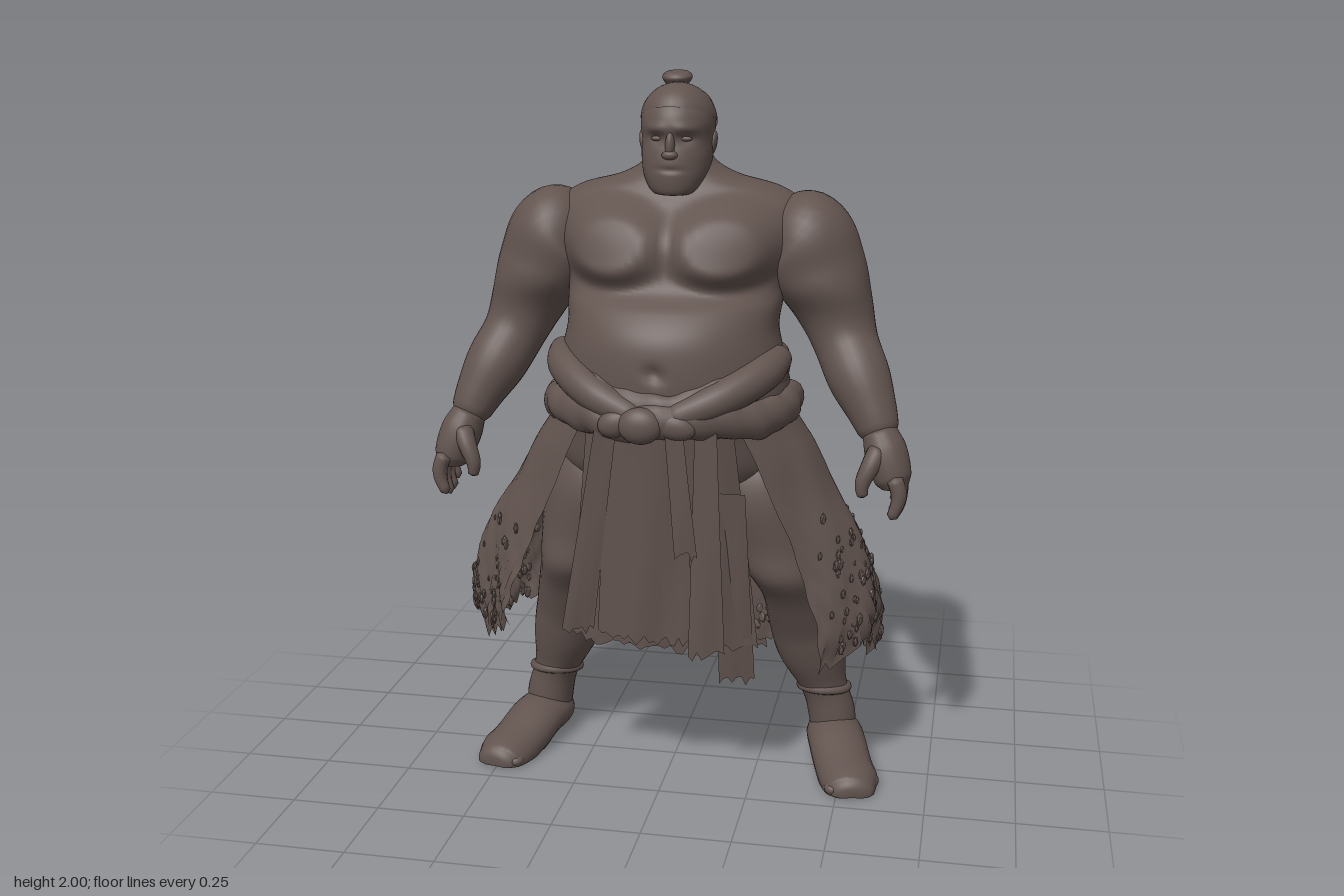
import * as THREE from 'three';
import { mergeVertices, mergeGeometries } from 'three/addons/utils/BufferGeometryUtils.js';
import { ParametricGeometry } from 'three/addons/geometries/ParametricGeometry.js';

const clay = new THREE.MeshStandardMaterial({ color: 0x62544f, side: THREE.DoubleSide });
clay.name = 'umber clay';

let seed = 7;
const rand = () => (seed = (seed * 16807) % 2147483647) / 2147483647;
const sin = Math.sin, cos = Math.cos, PI = Math.PI;
const bell = (d, w) => Math.exp(-(d * d) / (w * w));
const smooth = (a, b, x) => THREE.MathUtils.smoothstep(x, a, b);

// Smooth interpolation through rows of numbers, t in 0..1
function rows(table, t) {
  const n = table.length - 1, f = Math.min(t * n, n - 1e-6), i = Math.floor(f), k = f - i;
  const at = j => table[Math.max(0, Math.min(n, j))];
  return table[0].map((_, c) => {
    const p0 = at(i - 1)[c], p1 = at(i)[c], p2 = at(i + 1)[c], p3 = at(i + 2)[c];
    return p1 + 0.5 * k * (p2 - p0 + k * (2 * p0 - 5 * p1 + 4 * p2 - p3 + k * (3 * (p1 - p2) + p3 - p0)));
  });
}

// Surface from f(u, v, target) with seams welded and smooth normals
function surface(f, nu, nv) {
  const g = new ParametricGeometry(f, nu, nv);
  g.deleteAttribute('uv');
  g.deleteAttribute('normal');
  const m = mergeVertices(g, 1e-5);
  m.computeVertexNormals();
  return m;
}

// Upright body: rows of [y, half width, front z, back z]
const loft = (table, sculpt, nu, nv) => surface((u, v, p) => {
  const [y, w, f, b] = rows(table, v), a = u * 2 * PI;
  p.set(w * sin(a), y, (f + b) / 2 + (f - b) / 2 * cos(a));
  sculpt(p, cos(a));
}, nu, nv);

// Limb: points [x, y, z, radius], mirrored by side s, rounded at both ends
function limb(points, s = 1, { sy = 1, sz = 1, floor = -1, nu = 20, nv = 32, sculpt = () => {} } = {}) {
  const curve = new THREE.CatmullRomCurve3(points.map(p => new THREE.Vector3(p[0] * s, p[1], p[2])));
  const fr = curve.computeFrenetFrames(nv), radii = points.map(p => [p[3]]), o = new THREE.Vector3();
  return surface((u, v, p) => {
    const i = Math.round(v * nv), a = u * 2 * PI, e = Math.min(v, 1 - v) * 12;
    const r = rows(radii, v)[0] * (e < 1 ? Math.sqrt(1 - (1 - e) ** 2) : 1);
    o.set(0, 0, 0).addScaledVector(fr.normals[i], cos(a) * r).addScaledVector(fr.binormals[i], sin(a) * r);
    o.y *= sy;
    o.z *= sz;
    p.copy(curve.getPoint(v)).add(o);
    sculpt(p, o);
    p.y = Math.max(p.y, floor);
  }, nu, nv);
}

const ball = (x, y, z, rx, ry, rz, rot = 0, n = 24) =>
  new THREE.SphereGeometry(1, n, Math.ceil(n * 0.7)).scale(rx, ry, rz).rotateZ(rot).translate(x, y, z);

export function createModel() {
  const model = new THREE.Group();
  const add = (name, geo, parent = model) => {
    const m = new THREE.Mesh(geo, clay);
    m.name = name;
    parent.add(m);
    return m;
  };

  // Torso with chest muscles, shoulder blades, spine groove and navel
  add('torso', loft([
    [0.88, 0.02, 0.02, -0.02], [0.9, 0.3, 0.22, -0.22], [1.05, 0.33, 0.28, -0.24], [1.15, 0.33, 0.3, -0.24],
    [1.25, 0.31, 0.3, -0.225], [1.32, 0.295, 0.285, -0.23], [1.38, 0.3, 0.24, -0.24], [1.43, 0.31, 0.175, -0.25], [1.5, 0.335, 0.145, -0.26],
    [1.58, 0.35, 0.11, -0.25], [1.645, 0.345, 0.065, -0.235], [1.69, 0.28, 0.035, -0.215], [1.72, 0.17, 0.025, -0.19], [1.76, 0.1, 0.02, -0.165], [1.82, 0.07, 0, -0.14],
  ], (p, c) => {
    const ax = Math.abs(p.x);
    if (c > 0) {
      const d = Math.hypot((ax - 0.155) / 0.17, (p.y - 1.55) / 0.125);
      p.z += Math.min(1, c * 3) * 0.06 * (1 - smooth(0.5, 1.1, d)) - 0.02 * bell(p.x, 0.02) * bell(p.y - 1.23, 0.02);
    } else {
      p.z += 0.03 * bell(p.x, 0.045) * bell(p.y - 1.5, 0.2);
      p.z -= 0.045 * Math.min(1, -c * 2) * bell(ax - 0.16, 0.11) * bell(p.y - 1.54, 0.13);
    }
  }, 96, 110));

  // Head: chin, jaw, brow and skull
  const head = new THREE.Group();
  head.name = 'head';
  model.add(head);
  add('skull', loft([
    [1.675, 0.002, 0.05, 0.04], [1.68, 0.055, 0.075, -0.03], [1.72, 0.085, 0.085, -0.1], [1.77, 0.097, 0.083, -0.145],
    [1.82, 0.099, 0.073, -0.165], [1.87, 0.102, 0.076, -0.172], [1.91, 0.094, 0.058, -0.168], [1.945, 0.066, 0.02, -0.14], [1.965, 0.002, -0.06, -0.062],
  ], (p, c) => {
    const ax = Math.abs(p.x);
    if (c > 0) p.z += 0.008 * bell(p.y - 1.853, 0.014) * bell(ax - 0.04, 0.035) - 0.012 * bell(p.y - 1.826, 0.016) * bell(ax - 0.04, 0.022)
      - 0.006 * bell(p.y - 1.745, 0.007) * bell(p.x, 0.035);
  }, 64, 80), head);
  add('hairCap', new THREE.SphereGeometry(1, 32, 20, 0, 2 * PI, 0, PI * 0.5).scale(0.105, 0.1, 0.125).rotateX(-0.35).translate(0, 1.868, -0.055), head);
  add('topknot', limb([[-0.008, 1.945, -0.085, 0.03], [-0.008, 1.957, -0.085, 0.026], [-0.01, 1.968, -0.084, 0.034], [-0.01, 1.985, -0.082, 0.042], [-0.01, 2, -0.08, 0.03]]), head);
  add('nose', mergeGeometries([ball(0, 1.81, 0.075, 0.013, 0.035, 0.016), ball(0, 1.785, 0.08, 0.022, 0.013, 0.014)]), head);
  for (const s of [1, -1]) {
    add('eye', ball(s * 0.04, 1.827, 0.053, 0.017, 0.007, 0.008), head);
    add('ear', ball(s * 0.098, 1.81, -0.045, 0.01, 0.032, 0.02, -s * 0.15), head);
  }

  for (const s of [1, -1]) {
    // Arm from shoulder to wrist, with a bulge for the biceps
    const arm = new THREE.Group();
    arm.name = s > 0 ? 'leftArm' : 'rightArm';
    model.add(arm);
    add('armSkin', limb([[0.24, 1.6, -0.07, 0.07], [0.335, 1.555, -0.075, 0.14], [0.395, 1.46, -0.075, 0.132], [0.44, 1.36, -0.065, 0.108],
      [0.475, 1.27, -0.035, 0.09], [0.52, 1.18, 0.02, 0.086], [0.565, 1.09, 0.06, 0.066], [0.59, 1.02, 0.085, 0.052]], s, {
      nu: 28, nv: 56, sculpt: (p, o) => {
        p.z += 0.016 * bell(p.y - 1.42, 0.06) * smooth(0, 0.08, o.z) - 0.014 * bell(p.y - 1.29, 0.035) * smooth(0, 0.06, -o.z);
      },
    }), arm);

    // Hand with curled fingers and a thumb
    add('palm', limb([[0.578, 1.06, 0.075, 0.046], [0.602, 1.0, 0.095, 0.058], [0.625, 0.93, 0.112, 0.052], [0.63, 0.9, 0.115, 0.036]], s, { sz: 1.25 }), arm);
    for (let i = 0; i < 4; i++) {
      const z = 0.06 + i * 0.036, d = [0.025, 0.005, 0, 0.01][i];
      add('finger', limb([[0.63, 0.95, z, 0.022], [0.645, 0.905, z + 0.003, 0.022], [0.643, 0.865 + d, z + 0.006, 0.019], [0.625, 0.82 + d, z + 0.01, 0.014]], s, { nu: 12, nv: 14 }), arm);
    }
    add('thumb', limb([[0.59, 1.02, 0.13, 0.03], [0.565, 0.97, 0.16, 0.026], [0.545, 0.92, 0.17, 0.02], [0.55, 0.885, 0.17, 0.014]], s, { nu: 12, nv: 14 }), arm);

    // Leg with kneecap bulge, and foot turned outward
    const leg = new THREE.Group();
    leg.name = s > 0 ? 'leftLeg' : 'rightLeg';
    leg.position.x = 0.022;
    model.add(leg);
    add('legSkin', limb([[0.17, 1, 0, 0.13], [0.23, 0.85, 0.02, 0.16], [0.285, 0.7, 0.04, 0.125], [0.325, 0.58, 0.02, 0.095],
      [0.345, 0.47, -0.04, 0.1], [0.37, 0.35, -0.085, 0.1], [0.41, 0.22, -0.1, 0.068], [0.435, 0.12, -0.11, 0.07], [0.44, 0.05, -0.115, 0.065]], s, {
      nu: 28, nv: 56, sculpt: (p, o) => { p.z += 0.025 * bell(p.y - 0.62, 0.06) * smooth(0.02, 0.09, o.z); },
    }), leg);
    add('shinWrap', new THREE.TorusGeometry(0.07, 0.012, 8, 28).rotateX(PI / 2 - 0.15).translate(s * 0.41, 0.215, -0.1), leg);
    add('foot', limb([[0.43, 0.04, -0.19, 0.045], [0.44, 0.065, -0.12, 0.08], [0.46, 0.065, -0.03, 0.084], [0.485, 0.035, 0.05, 0.084], [0.51, 0.015, 0.12, 0.084], [0.52, 0.01, 0.175, 0.066], [0.525, 0.008, 0.2, 0.04]], s, { sy: 0.75, floor: 0.004 }), leg);
    for (let i = 0; i < 5; i++)
      add('toe', ball(s * (0.465 + i * 0.028), 0.02, 0.17 - i * i * 0.004, i ? 0.016 : 0.023, 0.018, 0.028, 0, 12), leg);
  }

  // Open robe skirt: diagonal folds, flared and ragged at the hem
  const robeRows = [[0.33, 0.26, 0.3], [0.4, 0.28, 0.29], [0.46, 0.285, 0.28], [0.53, 0.3, 0.27], [0.575, 0.315, 0.27], [0.6, 0.335, 0.27], [0.585, 0.35, 0.26]];
  const jag = Array.from({ length: 121 }, () => rand());
  const robePoint = (u, v, p) => {
    const k = u * 2 - 1, a = k * (2.45 - 0.15 * v), m = Math.abs(a);
    const hem = 0.25 + 0.16 * smooth(0.35, 1.1, m) + 0.04 * (jag[Math.round(u * 120)] - 0.5) + 0.03 * sin(a * 9);
    const y = 1.1 - (1.1 - hem) * v;
    const [w, b, f] = rows(robeRows, Math.min(1, (1.1 - y) / 0.72));
    const fold = 1 + v * (0.025 * sin(a * 7 + v * 4) + 0.014 * sin(m * 15 - v * 9)) + v * v * 0.014 * sin(a * 37 + y * 60);
    p.set(-w * sin(a) * fold, y, -(cos(a) > 0 ? b : f) * cos(a) * fold);
  };
  add('robeSkirt', surface(robePoint, 120, 50));

  // Flat raised tufts scattered over the lower robe
  const tufts = [], at = new THREE.Vector3();
  for (let i = 0; i < 380; i++) {
    robePoint(0.02 + rand() * 0.96, 0.42 + 0.55 * Math.sqrt(rand()), at);
    const r = 0.007 + rand() * 0.01;
    tufts.push(new THREE.IcosahedronGeometry(r, 0).rotateZ(rand() * 3).scale(1, 1.2, 0.5).rotateY(Math.atan2(at.x, at.z)).translate(at.x, at.y, at.z));
  }
  add('robeTufts', mergeGeometries(tufts));

  // Hanging cloth: top centre to bottom centre, with folds and a ragged hem
  function cloth(name, [x0, y0, z0, w0], [x1, y1, z1, w1], bow = 0, n = 24) {
    const rag = Array.from({ length: n + 1 }, () => rand() * 0.03);
    add(name, surface((u, v, p) => {
      const k = u * 2 - 1, w = w0 + (w1 - w0) * v;
      p.set(x0 + (x1 - x0) * v + k * w, y0 + (y1 + rag[Math.round(u * n)] - y0) * v,
        z0 + (z1 - z0) * v - bow * k * k + 0.006 * v * sin(k * w * 40 + v * 3));
    }, n, 24));
  }
  cloth('frontSkirt', [0, 1.1, 0.31, 0.2], [0, 0.42, 0.25, 0.27], 0.08, 32);
  cloth('apron', [-0.03, 1.08, 0.325, 0.1], [-0.03, 0.46, 0.29, 0.14], 0.03, 24);
  cloth('sashTail', [-0.13, 1.08, 0.315, 0.03], [-0.23, 0.46, 0.25, 0.045], 0, 8);
  cloth('sashTail', [0.06, 1.09, 0.335, 0.025], [0.09, 0.72, 0.315, 0.03], 0, 8);
  cloth('sashTail', [0.14, 1.08, 0.3, 0.03], [0.14, 0.42, 0.275, 0.05], 0, 8);
  cloth('raggedStrip', [0.2, 0.9, 0.25, 0.04], [0.21, 0.31, 0.17, 0.05], 0, 8);
  for (const [i, x] of [-0.18, -0.06, 0.05, 0.15].entries())
    cloth('backTail', [x, 0.45, -0.325, 0.05], [x * 1.1, 0.2, -0.34 - 0.012 * (i % 2), 0.06], 0, 8);

  // Rolled waist cloth: one level belt and one that dips at the front
  function roll(name, w, f, b, r, height, squash) {
    const ring = a => new THREE.Vector3(w * sin(a), height(a), (f + b) / 2 + (f - b) / 2 * cos(a));
    add(name, surface((u, v, p) => {
      const a = v * 2 * PI, c = ring(a), t = u * 2 * PI;
      const q = r * (1 + 0.06 * sin(a * 11 + t * 2) + 0.04 * sin(a * 23 + t));
      p.set(c.x + sin(a) * q * cos(t) * squash, c.y + q * sin(t), c.z + cos(a) * q * cos(t) * squash);
    }, 16, 140));
  }
  roll('lowerBelt', 0.325, 0.305, -0.245, 0.052, a => 1.105 + 0.008 * sin(a * 5), 0.8);
  roll('upperBelt', 0.295, 0.295, -0.23, 0.06, a => 1.21 - 0.09 * bell(a > PI ? a - 2 * PI : a, 0.75), 0.55);

  // Crossed folds meeting at the knot
  for (const s of [1, -1])
    add('waistFold', limb([[0.31, 1.25, 0.05, 0.035], [0.275, 1.22, 0.16, 0.05], [0.17, 1.165, 0.265, 0.048], [0.03, 1.11, 0.315, 0.035]], s));
  add('knot', mergeGeometries([ball(-0.03, 1.1, 0.335, 0.06, 0.05, 0.035), ball(-0.1, 1.1, 0.32, 0.05, 0.038, 0.03, 0.3), ball(0.06, 1.1, 0.32, 0.06, 0.038, 0.03, -0.2)]));

  return model;
}
